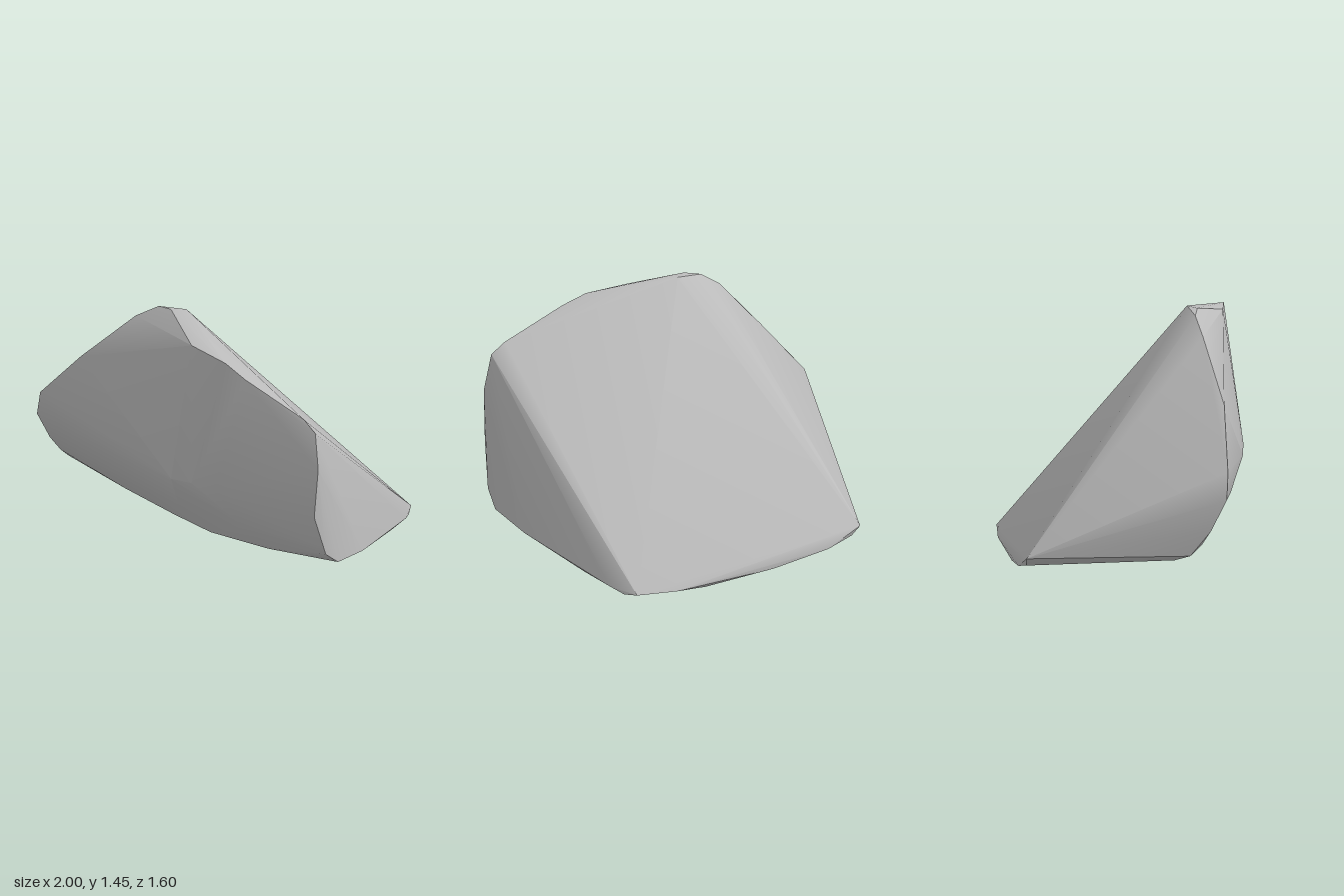
import * as THREE from 'three';
import { ConvexGeometry } from 'three/addons/geometries/ConvexGeometry.js';
import { toCreasedNormals } from 'three/addons/utils/BufferGeometryUtils.js';

// Rings of corners of the boulder, each as x, y, z
const topRim = [
  [-0.66, 1.02, 0.72], [-0.39, 1.34, 0.54], [-0.27, 1.43, 0.47], [-0.17, 1.45, 0.46],
  [-0.12, 1.45, 0.39], [0.13, 1.38, 0.54], [0.38, 1.36, 0.49], [0.52, 1.31, 0.46],
  [0.88, 1.17, 0.32], [0.96, 1.11, 0.3],
];
const waist = [
  [-0.93, 0.7, 0.8], [-0.96, 0.55, 0.8], [-0.77, 0.55, 0.78], [0.1, 0.56, 0.66],
  [0.25, 0.59, 0.63], [0.4, 0.6, 0.575], [0.52, 0.6, 0.52], [1, 0.9, 0.31], [0.99, 0.6, 0.33],
];
const lowerFront = [
  [-0.96, 0.37, 0.71], [-0.94, 0.28, 0.65], [-0.4, 0.3, 0.6], [0.05, 0.34, 0.57],
  [0.5, 0.37, 0.46], [0.98, 0.4, 0.28], [0.99, 0.34, 0.25],
];
const bottomRim = [
  [-0.95, 0.22, 0.59], [-0.9, 0.18, 0.49], [-0.5, 0.19, 0.53], [-0.1, 0.19, 0.49],
  [0.2, 0.2, 0.46], [0.6, 0.24, 0.36], [0.97, 0.25, 0.15], [0.86, 0.19, -0.1],
  [-0.2, 0.11, 0.2],
];
const backFoot = [
  [-1, 0.17, -0.33], [-0.95, 0.12, -0.34], [-0.8, 0.08, -0.42], [-0.47, 0.03, -0.53],
  [-0.05, 0, -0.66], [0.2, 0, -0.6], [0.13, 0.015, -0.74], [0.37, 0.03, -0.8],
  [0.43, 0.02, -0.74], [0.5, 0.05, -0.67], [0.6, 0.08, -0.5],
];

export function createModel() {
  const group = new THREE.Group();
  group.name = 'rock';
  const stone = new THREE.MeshStandardMaterial({ color: 0xbcbcbc });
  stone.name = 'grey stone';

  // Solid boulder: hull of the rings, softened except along the sharp rims
  const corners = [topRim, waist, lowerFront, bottomRim, backFoot]
    .flat()
    .map((p) => new THREE.Vector3(...p));
  const boulder = new THREE.Mesh(toCreasedNormals(new ConvexGeometry(corners), 0.55), stone);
  boulder.name = 'boulder';
  group.add(boulder);
  return group;
}
